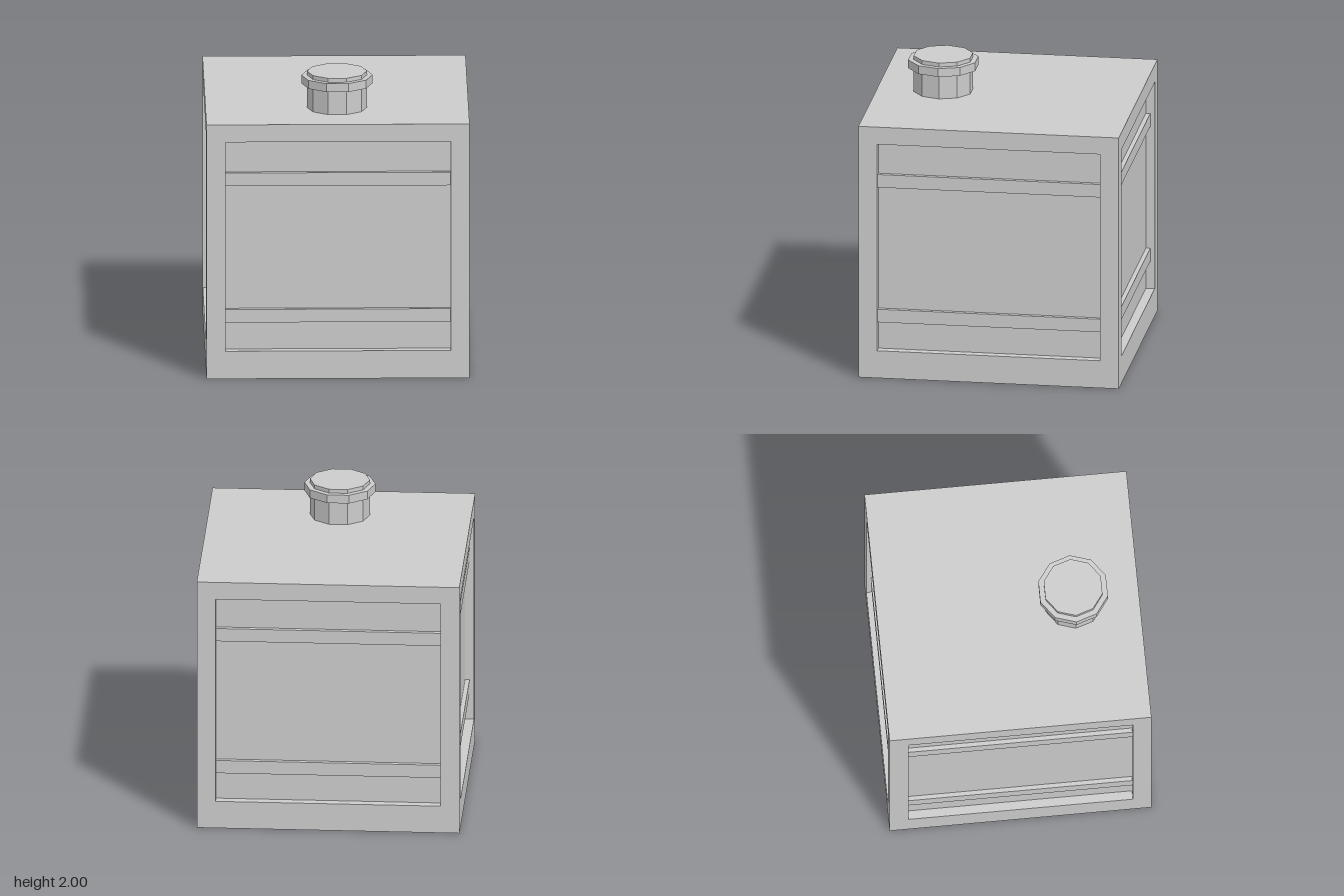
import * as THREE from 'three';

const HALF = 0.875;      // half width of the tank
const HEIGHT = 1.75;
const POST = 0.125;      // corner post thickness
const LOW = 0.19;        // recess bottom
const HIGH = 1.63;       // recess top
const PANEL = 0.815;     // distance of the recessed panels from the centre
const BAR = 0.845;       // distance of the bar faces from the centre

export function createModel() {
  const group = new THREE.Group();
  const grey = new THREE.MeshStandardMaterial({ color: 0xcccccc });
  grey.name = 'plainGrey';
  grey.flatShading = true;

  const add = (name, geometry, x, y, z, parent = group) => {
    const mesh = new THREE.Mesh(geometry, grey);
    mesh.name = name;
    mesh.position.set(x, y, z);
    parent.add(mesh);
    return mesh;
  };
  const box = (name, w, y0, y1, d, x = 0, z = 0, parent = group) =>
    add(name, new THREE.BoxGeometry(w, y1 - y0, d), x, (y0 + y1) / 2, z, parent);

  // Base and top slabs with the recessed body between them
  box('baseSlab', HALF * 2, 0, LOW, HALF * 2);
  box('topSlab', HALF * 2, HIGH, HEIGHT, HALF * 2);
  box('recessedBody', PANEL * 2, LOW, HIGH, PANEL * 2);

  // Corner posts
  const corner = HALF - POST / 2;
  for (const sx of [-1, 1]) {
    for (const sz of [-1, 1]) {
      box('cornerPost', POST, LOW, HIGH, POST, sx * corner, sz * corner);
    }
  }

  // Two horizontal bars in each of the four recesses
  for (let i = 0; i < 4; i++) {
    const side = new THREE.Group();
    side.name = 'sideBars';
    side.rotation.y = i * Math.PI / 2;
    group.add(side);
    for (const y of [0.38, 1.32]) {
      box('bar', (HALF - POST) * 2, y, y + 0.09, BAR - PANEL, 0, (BAR + PANEL) / 2, side);
    }
  }

  // Ten-sided filler neck and its collar
  const decagon = (name, r, y0, y1) =>
    add(name, new THREE.CylinderGeometry(r, r, y1 - y0, 10, 1, false, Math.PI / 2),
      0, (y0 + y1) / 2, 0.435);
  decagon('fillerNeck', 0.2, HEIGHT, 2);
  decagon('capCollar', 0.237, 1.915, 1.973);

  return group;
}
